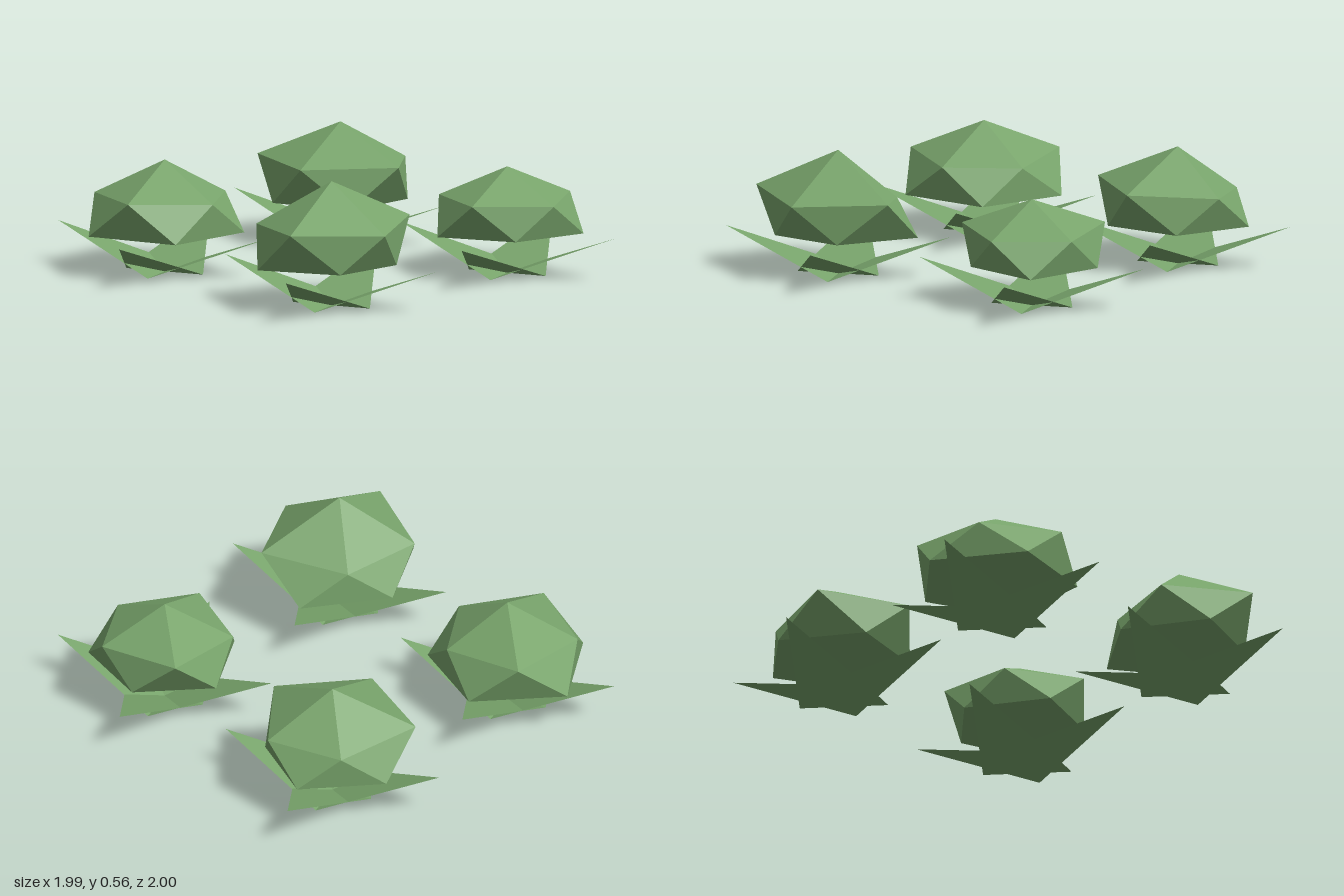
import * as THREE from 'three';

const leafGreen = new THREE.MeshStandardMaterial({ color: 0x78a46b, flatShading: true, side: THREE.DoubleSide });
leafGreen.name = 'leafGreen';

// Four plants: position, height of the tip, radii of the upper and lower ring of the head
const PLANTS = [
  { x: -0.53, z: -0.535, top: 0.525, upper: [0.37, 0.37, 0.37, 0.27, 0.315], lower: [0.32, 0.33, 0.34, 0.33, 0.3] },
  { x: 0.53, z: -0.535, top: 0.476, upper: [0.295, 0.325, 0.305, 0.335, 0.305], lower: [0.28, 0.34, 0.325, 0.305, 0.34] },
  { x: -0.53, z: 0.53, top: 0.5, upper: [0.305, 0.34, 0.313, 0.345, 0.295], lower: [0.36, 0.37, 0.38, 0.36, 0.355] },
  { x: 0.53, z: 0.53, top: 0.555, upper: [0.34, 0.38, 0.335, 0.27, 0.38], lower: [0.29, 0.36, 0.335, 0.37, 0.29] },
];

function facets(name, points) {
  const geometry = new THREE.BufferGeometry().setFromPoints(points);
  geometry.computeVertexNormals();
  const mesh = new THREE.Mesh(geometry, leafGreen);
  mesh.name = name;
  return mesh;
}

// Uneven twenty-sided head with a flattened underside
function createHead({ top, upper, lower }) {
  const ring = (radii, offset, height) => radii.map((r, i) => {
    const a = (i + offset) * Math.PI * 2 / 5;
    return new THREE.Vector3(r * Math.cos(a), height(r), r * Math.sin(a));
  });
  const U = ring(upper, 0, r => 0.203 + 0.45 * r);
  const L = ring(lower, 0.5, r => 0.203 - 0.045 * r);
  const tip = new THREE.Vector3(0, top, 0);
  const base = new THREE.Vector3(0, 0.166, 0);
  const points = [];
  for (let i = 0; i < 5; i++) {
    const j = (i + 1) % 5;
    points.push(tip, U[j], U[i], U[i], U[j], L[i], L[i], U[j], L[j], base, L[i], L[j]);
  }
  return facets('head', points);
}

// Pointed outer leaf rising from the ground to its tip
function createLeaf() {
  return facets('outerLeaf', [
    new THREE.Vector3(0.17, 0, -0.07),
    new THREE.Vector3(-0.17, 0, 0.07),
    new THREE.Vector3(0.2, 0.19, 0.467),
  ]);
}

export function createModel() {
  const model = new THREE.Group();
  model.name = 'cabbagePatch';
  for (const plant of PLANTS) {
    const cabbage = new THREE.Group();
    cabbage.name = 'cabbage';
    cabbage.add(createHead(plant));
    for (let i = 0; i < 4; i++) {
      const leaf = createLeaf();
      leaf.rotation.y = i * Math.PI / 2;
      cabbage.add(leaf);
    }
    cabbage.position.set(plant.x, 0, plant.z);
    model.add(cabbage);
  }
  return model;
}
